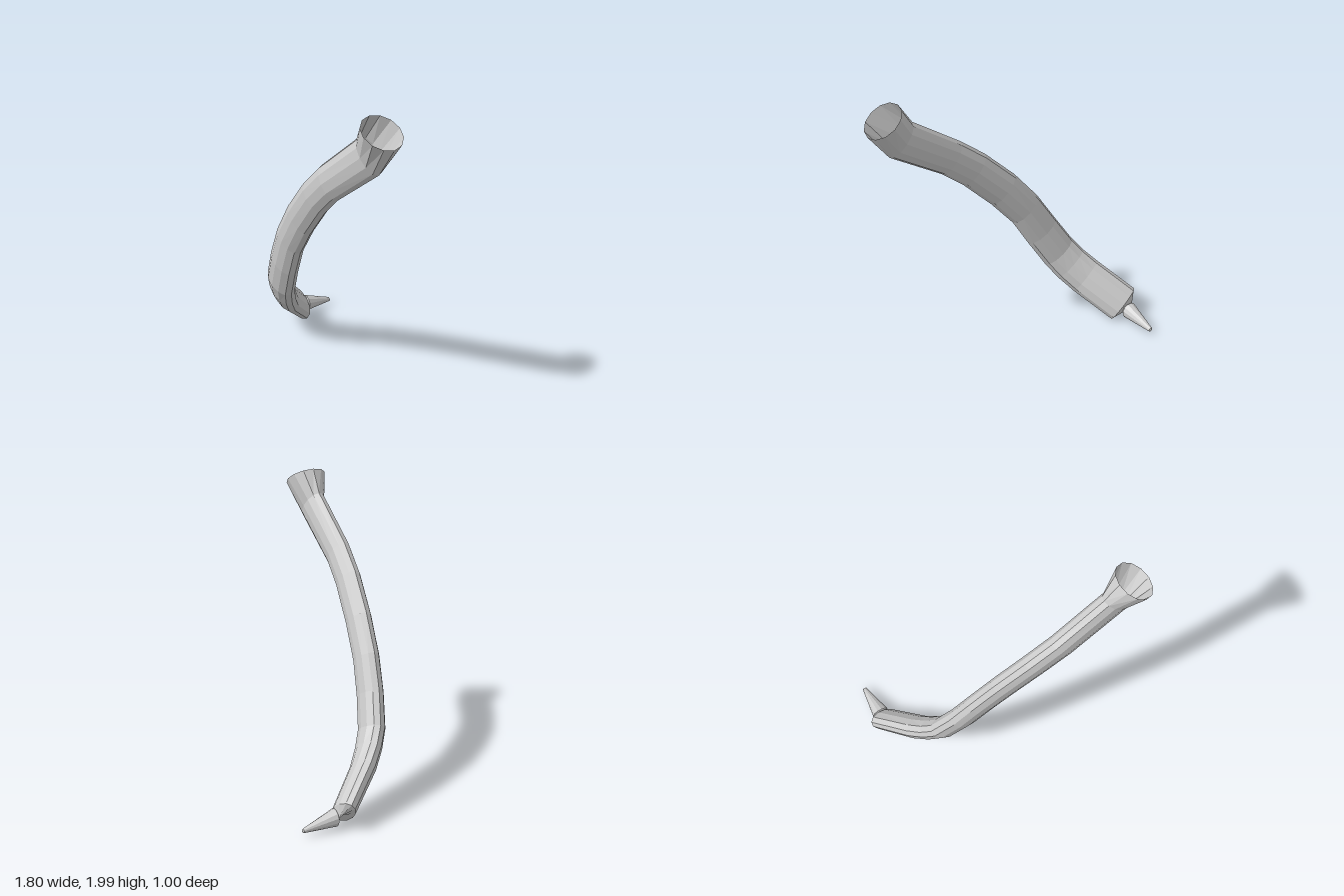
import * as THREE from 'three';

const SIDES = 12;
const material = new THREE.MeshStandardMaterial({ color: 0xcccccc, flatShading: true, side: THREE.DoubleSide });

// Stations from the bell down to the foot: [x, y, z, half width, half thickness]
const stations = [
  [0.775, 1.92, 0.36, 0.14, 0.14],
  [0.655, 1.745, 0.355, 0.135, 0.075],
  [0.28, 1.475, 0.355, 0.125, 0.076],
  [0.11, 1.33, 0.337, 0.127, 0.076],
  [-0.10, 1.11, 0.30, 0.13, 0.076],
  [-0.265, 0.90, 0.265, 0.128, 0.076],
  [-0.385, 0.69, 0.228, 0.132, 0.077],
  [-0.50, 0.49, 0.175, 0.134, 0.078],
  [-0.565, 0.388, 0.115, 0.136, 0.078],
  [-0.64, 0.292, 0.03, 0.138, 0.078],
  [-0.805, 0.105, -0.205, 0.138, 0.07],
];

// Spike stations, running straight back from the foot
const spikeStations = [
  [-0.808, 0.085, -0.27, 0.06, 0.06],
  [-0.815, 0.047, -0.5, 0.016, 0.014],
  [-0.815, 0.047, -0.505, 0.001, 0.001],
];

// Elliptical ring square to the direction of travel, its wide axis kept level in z
function ring([x, y, z, width, depth], wide, tangent) {
  const thin = new THREE.Vector3().crossVectors(tangent, wide);
  return Array.from({ length: SIDES }, (_, i) => {
    const a = (i / SIDES) * Math.PI * 2;
    return new THREE.Vector3(x, y, z)
      .addScaledVector(wide, Math.cos(a) * width)
      .addScaledVector(thin, Math.sin(a) * depth);
  });
}

// Skin a run of rings with quads
function loft(name, rings) {
  const positions = [];
  const index = [];
  rings.forEach((r) => r.forEach((p) => positions.push(p.x, p.y, p.z)));
  for (let j = 0; j < rings.length - 1; j++) {
    for (let i = 0; i < SIDES; i++) {
      const a = j * SIDES + i;
      const b = j * SIDES + ((i + 1) % SIDES);
      index.push(a, b, b + SIDES, a, b + SIDES, a + SIDES);
    }
  }
  const geometry = new THREE.BufferGeometry();
  geometry.setAttribute('position', new THREE.Float32BufferAttribute(positions, 3));
  geometry.setIndex(index);
  geometry.computeVertexNormals();
  const mesh = new THREE.Mesh(geometry, material);
  mesh.name = name;
  return mesh;
}

export function createModel() {
  const group = new THREE.Group();
  group.name = 'curvedHorn';

  const centre = (i) => new THREE.Vector3(...stations[i].slice(0, 3));
  const last = stations.length - 1;
  const rings = stations.map((s, i) => {
    const tangent = centre(Math.min(i + 1, last)).sub(centre(Math.max(i - 1, 0))).normalize();
    const wide = new THREE.Vector3(-tangent.y, tangent.x, 0).normalize().negate();
    return ring(s, wide, tangent);
  });

  const back = new THREE.Vector3(0, 0, -1);
  const slant = new THREE.Vector3(1, -1, 0).normalize();
  const spikeRings = spikeStations.map((s) => ring(s, slant, back));

  // Flared open mouth
  group.add(loft('bell', rings.slice(0, 2)));
  // Long flattened, bending tube
  group.add(loft('body', rings.slice(1)));
  // Shoulder closing the tube down to the spike
  group.add(loft('collar', [rings[last], spikeRings[0]]));
  // Tapered spike
  group.add(loft('spike', spikeRings));
  return group;
}
